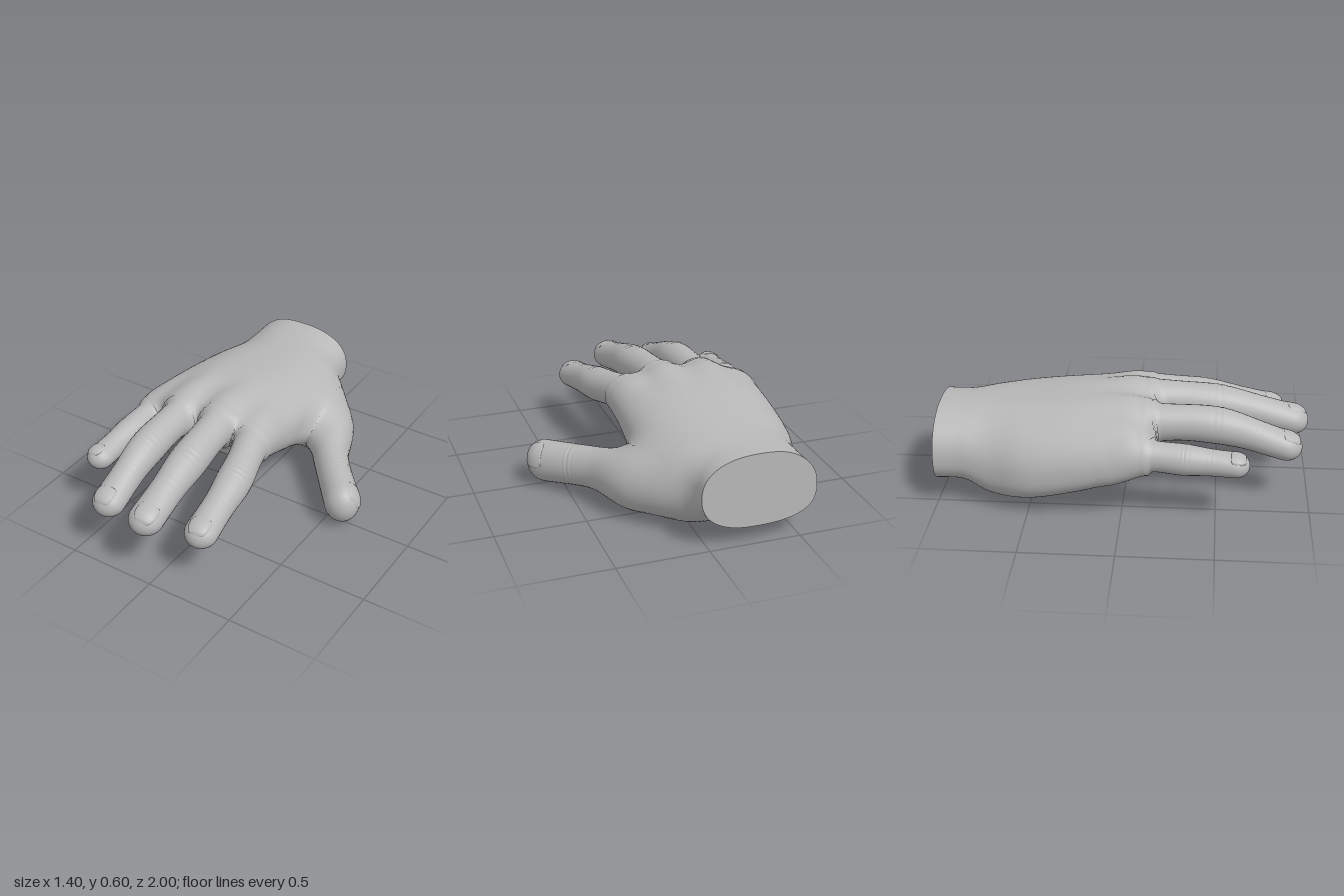
import * as THREE from 'three';

const V = (x, y, z) => new THREE.Vector3(x, y, z);
const bell = (x) => Math.exp(-x * x);
const power = (c, n) => Math.sign(c) * Math.pow(Math.abs(c), 2 / n);
const curve = (points) => new THREE.CatmullRomCurve3(points, false, 'catmullrom');
const RINGS = 160, CAP_RINGS = 14;

const skin = new THREE.MeshStandardMaterial({ color: 0xb8b8b8 });
skin.name = 'skinGrey';

// Palm relief: lower little-finger side, hollow palm, groove and thumb pad in the heel, tendon ridges
function palmRelief(x, z, v) {
  const under = Math.max(0, -v), over = Math.max(0, v), heel = bell((z + 0.65) / 0.2);
  return -0.5 * Math.max(0, -0.35 - x) ** 2
    + under * 0.06 * bell((x + 0.22) / 0.16) * bell((z + 0.2) / 0.28)
    + under * heel * (0.05 * bell((x + 0.27) / 0.1) - 0.03 * bell((x - 0.03) / 0.18))
    + over * 0.011 * Math.cos((x + 0.13) * 2 * Math.PI / 0.24) * bell((z - 0.03) / 0.17);
}

// A rounded loft along an axis with elliptical sections, closed by a domed tip
class Loft {
  constructor(name, axis, radii, options) {
    Object.assign(this, { name, n: 2, sides: 28, creases: [], top: 90, relief: () => 0, straight: false }, options);
    this.axis = curve(axis);
    this.radii = curve(radii);
    this.rings = Array.from({ length: RINGS + 1 }, (_, i) => this.ring(i / RINGS));
  }

  // Cross-section frame: s from 0 to 1 is the body, 1 to 2 the domed tip
  ring(s) {
    const b = Math.min(s, 1), phi = Math.max(0, s - 1) * Math.PI / 2;
    const c = this.axis.getPoint(b), r = this.radii.getPoint(b);
    const t = this.straight ? V(0, 0, 1) : this.axis.getTangent(b);
    const u = V(0, 1, 0).cross(t).normalize(), v = t.clone().cross(u);
    c.addScaledVector(t, this.cap * Math.sin(phi));
    const k = Math.max(Math.cos(phi), 1e-4);
    return { c, t, u, v, rx: r.x * k, ry: r.y * k };
  }

  point(s, a, lift = 0) {
    const g = this.ring(s);
    const upper = Math.max(0, Math.cos(a - this.top * Math.PI / 180));
    let k = 1;
    for (const [at, depth] of this.creases) {
      k -= depth * upper * bell((s - at) / 0.035) * Math.cos((s - at) * 2 * Math.PI / 0.03);
    }
    const sv = power(Math.sin(a), this.n);
    const p = g.c.clone()
      .addScaledVector(g.u, power(Math.cos(a), this.n) * (g.rx * k + lift))
      .addScaledVector(g.v, sv * (g.ry * k + lift));
    p.y += this.relief(p.x, p.z, sv);
    return p;
  }

  // Approximate signed distance to the loft
  distance(p) {
    let best = Infinity, g = null;
    for (const r of this.rings) {
      const d = Math.abs((p.x - r.c.x) * r.t.x + (p.y - r.c.y) * r.t.y + (p.z - r.c.z) * r.t.z);
      if (d < best) { best = d; g = r; }
    }
    const l = p.clone().sub(g.c);
    l.y -= this.relief(p.x, p.z, THREE.MathUtils.clamp(l.y / g.ry, -1, 1));
    const x = l.dot(g.u), y = l.dot(g.v), z = Math.max(0, best - 0.01);
    const q = Math.pow(Math.abs(x / g.rx) ** this.n + Math.abs(y / g.ry) ** this.n
      + (z / this.cap) ** this.n, 1 / this.n);
    return q < 0.05 ? -Math.min(g.rx, g.ry) : Math.hypot(x, y, z) * (1 - 1 / q);
  }

  gradient(p) {
    const e = 0.01;
    const slope = (d) => this.distance(p.clone().add(d)) - this.distance(p.clone().sub(d));
    return V(slope(V(e, 0, 0)), slope(V(0, e, 0)), slope(V(0, 0, e))).normalize();
  }

  geometry() {
    const pos = [], index = [], m = this.sides, rows = RINGS + CAP_RINGS;
    for (let i = 0; i <= rows; i++) {
      const s = i <= RINGS ? i / RINGS : 1 + (i - RINGS) / CAP_RINGS;
      for (let j = 0; j < m; j++) pos.push(...this.point(s, j / m * 2 * Math.PI).toArray());
    }
    for (let i = 0; i < rows; i++) {
      for (let j = 0; j < m; j++) {
        const a = i * m + j, b = i * m + (j + 1) % m;
        index.push(a, b, a + m, b, b + m, a + m);
      }
    }
    return indexed(pos, index);
  }
}

function indexed(pos, index) {
  const geo = new THREE.BufferGeometry();
  geo.setAttribute('position', new THREE.Float32BufferAttribute(pos, 3));
  geo.setIndex(index);
  geo.computeVertexNormals();
  return geo;
}

// Swell the skin where a part meets its neighbours and share normals across the join
function blend(geo, others, widthFor) {
  const pos = geo.attributes.position, nor = geo.attributes.normal;
  for (let i = 0; i < pos.count; i++) {
    const p = V().fromBufferAttribute(pos, i), n = V().fromBufferAttribute(nor, i);
    const move = V(), normal = n.clone();
    for (const o of others) {
      const k = widthFor(o), d = o.distance(p);
      if (Math.abs(d) >= k) continue;
      const h = 1 - Math.abs(d) / k, w = d > 0 ? h / 2 : 1 - h / 2;
      const turn = o.gradient(p).sub(n).multiplyScalar(w), g = n.clone().add(turn);
      move.addScaledVector(g, h * h * k / 4 / Math.max(0.4, g.lengthSq()));
      normal.add(turn);
    }
    p.add(move);
    normal.normalize();
    pos.setXYZ(i, p.x, p.y, p.z);
    nor.setXYZ(i, normal.x, normal.y, normal.z);
  }
  return geo;
}

// Thin oval plate hugging the upper side of a fingertip
function nailGeometry(digit) {
  const pos = [], index = [], N = 14;
  for (let i = 0; i <= N; i++) {
    for (let j = 0; j <= N; j++) {
      const q = i / N * 2 - 1, r = j / N * 2 - 1;
      const across = r * Math.sqrt(1 - 0.8 * q ** 4);
      const s = 1 + q * (q < 0 ? 0.035 : 0.55);
      const lift = Math.max(Math.abs(q), Math.abs(r)) > 0.99 ? -0.004 : 0.004 + 0.002 * q;
      pos.push(...digit.point(s, (digit.top + across * 44) * Math.PI / 180, lift).toArray());
      if (i < N && j < N) {
        const a = i * (N + 1) + j, b = a + N + 1;
        index.push(a, a + 1, b, a + 1, b + 1, b);
      }
    }
  }
  return indexed(pos, index);
}

// Shared finger outline from root to tip: width and height relative to the finger's radius
const fingerWidth = [0.8, 0.93, 1.02, 0.97, 1.02, 0.9, 0.95];
const fingerHeight = [0.8, 0.97, 1.08, 1.02, 1.04, 0.9, 0.82];

// A finger through knuckle, middle joint and tip, with its root buried in the palm
function finger(name, r, top, knuckle, joint, tip) {
  const root = knuckle.clone().lerp(joint, -0.6);
  root.y -= 0.06;
  return new Loft(name, [root, knuckle, joint, tip],
    fingerWidth.map((w, i) => V(w * r, fingerHeight[i] * r, 0)),
    { cap: 0.95 * r, blend: 0.085, creases: [[0.667, 0.022], [0.84, 0.01]], top });
}

// Wrist and palm, each section as z, left edge, right edge, top, bottom
function buildPalm() {
  const sections = [
    [-1, -0.58, 0.05, 0.505, 0.095], [-0.85, -0.577, 0.06, 0.505, 0.085],
    [-0.7, -0.605, 0.15, 0.515, 0.005], [-0.5, -0.67, 0.2, 0.537, 0.02],
    [-0.25, -0.693, 0.19, 0.565, 0.09], [0, -0.693, 0.18, 0.575, 0.18],
    [0.11, -0.67, 0.165, 0.55, 0.24],
  ];
  return new Loft('palm',
    sections.map(([z, l, r, t, b]) => V((l + r) / 2, (t + b) / 2, z)),
    sections.map(([, l, r, t, b]) => V((r - l) / 2, (t - b) / 2, 0)),
    { n: 2.35, sides: 96, cap: 0.06, straight: true, relief: palmRelief });
}

export function createModel() {
  const hand = new THREE.Group();
  hand.name = 'hand';
  const add = (name, geo) => {
    const mesh = new THREE.Mesh(geo, skin);
    mesh.name = name;
    hand.add(mesh);
  };

  const palm = buildPalm();
  const thumb = new Loft('thumb',
    [V(-0.02, 0.23, -0.75), V(0.21, 0.19, -0.52), V(0.375, 0.17, -0.25), V(0.585, 0.132, 0)],
    [V(0.11, 0.12, 0), V(0.138, 0.163, 0), V(0.1, 0.12, 0), V(0.1, 0.12, 0)],
    { cap: 0.11, blend: 0.14, creases: [[0.8, 0.018]], top: 35 });
  const digits = [
    thumb,
    finger('indexFinger', 0.096, 88, V(0.08, 0.412, 0.12), V(0.155, 0.365, 0.43), V(0.195, 0.288, 0.79)),
    finger('middleFinger', 0.101, 75, V(-0.125, 0.465, 0.12), V(-0.095, 0.435, 0.5), V(-0.068, 0.342, 0.905)),
    finger('ringFinger', 0.096, 95, V(-0.375, 0.44, 0.12), V(-0.36, 0.43, 0.5), V(-0.342, 0.315, 0.865)),
    finger('littleFinger', 0.08, 108, V(-0.598, 0.358, 0.1), V(-0.605, 0.348, 0.33), V(-0.612, 0.33, 0.595)),
  ];

  add('palm', blend(palm.geometry(), digits, (digit) => digit.blend));
  for (const digit of digits) {
    add(digit.name, blend(digit.geometry(), [palm], () => digit.blend));
    add(digit.name + 'Nail', nailGeometry(digit));
  }

  // Flat cut face at the wrist
  const rim = palm.rings[0].c.toArray(), fan = [], m = palm.sides;
  for (let j = 0; j < m; j++) {
    rim.push(...palm.point(0, j / m * 2 * Math.PI).toArray());
    fan.push(0, 1 + (j + 1) % m, 1 + j);
  }
  add('wristCut', indexed(rim, fan));
  return hand;
}
